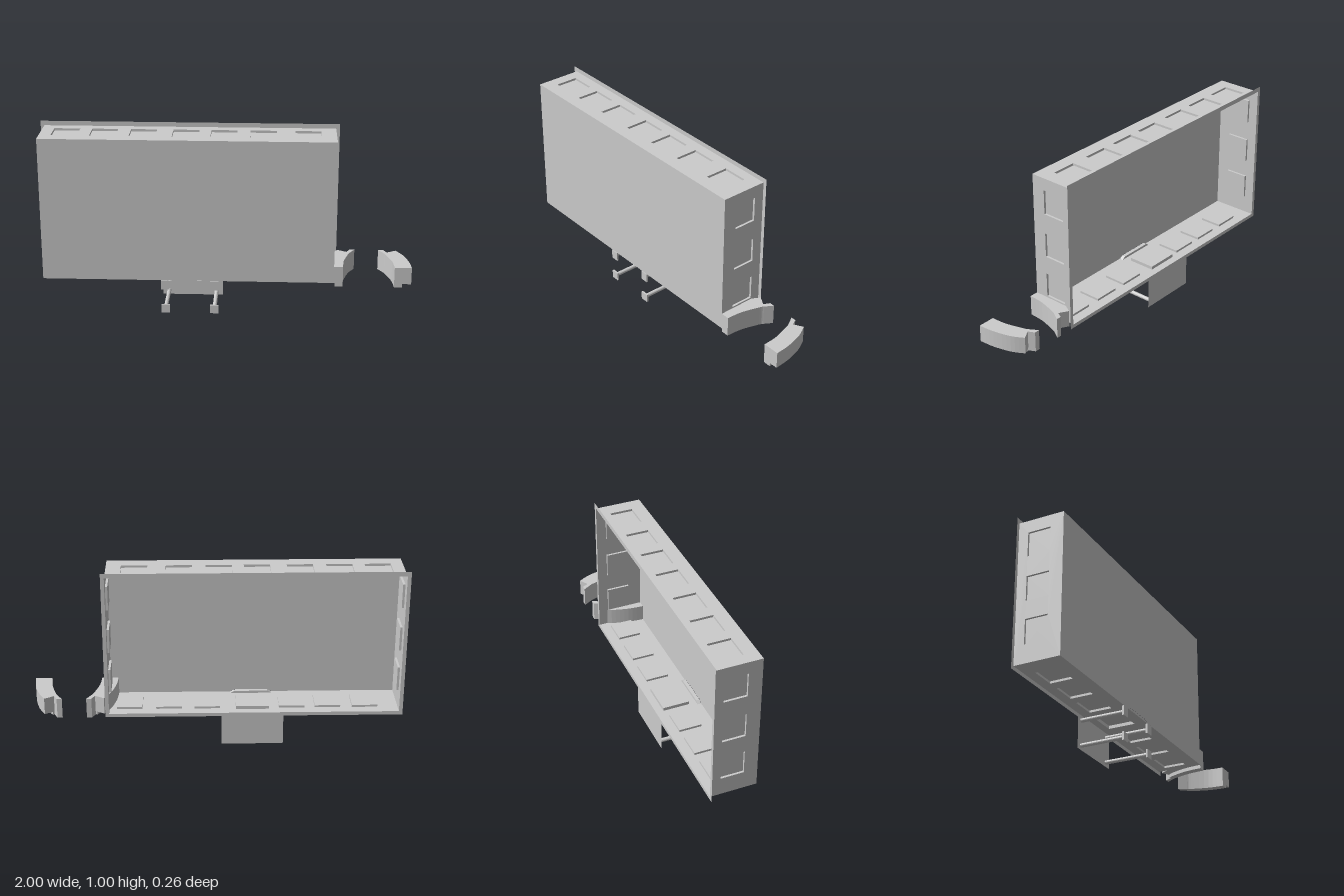
import * as THREE from 'three';

const mat = new THREE.MeshStandardMaterial({ color: 0xcccccc, side: THREE.DoubleSide, flatShading: true });
const X0 = -0.98, X1 = 0.585, Y0 = 0.19, Y1 = 0.975, Z = 0.127;
const CX = (X0 + X1) / 2, CY = (Y0 + Y1) / 2;
const PAD_Z = -0.01, PAD_D = 0.126;

function add(parent, name, geometry, x = 0, y = 0, z = 0) {
  const mesh = new THREE.Mesh(geometry, mat);
  mesh.name = name;
  mesh.position.set(x, y, z);
  parent.add(mesh);
  return mesh;
}

const poly = (pts) => new THREE.Shape(pts.map((p) => new THREE.Vector2(p[0], p[1])));
const rect = (x0, y0, x1, y1) => [[x0, y0], [x1, y0], [x1, y1], [x0, y1]];

// Square dish, open towards +z, one unit wide and deep
function dish() {
  const g = new THREE.LatheGeometry(
    [[0, -1], [Math.SQRT1_2, -1], [Math.SQRT1_2, 0]].map((p) => new THREE.Vector2(p[0], p[1])),
    4, Math.PI / 4);
  return g.rotateX(Math.PI / 2);
}

// Thin wall in local XY, facing +z, with pockets pressed inward
function wall(name, w, h, pads) {
  const group = new THREE.Group();
  group.name = name;
  const shape = poly(rect(-w / 2, -h / 2, w / 2, h / 2));
  for (const p of pads) {
    shape.holes.push(poly(rect(p.u - p.w / 2, p.v - p.h / 2, p.u + p.w / 2, p.v + p.h / 2)));
    add(group, 'pocket', dish().scale(p.w, p.h, p.d), p.u, p.v, 0);
  }
  add(group, name + 'Sheet', new THREE.ShapeGeometry(shape));
  return group;
}

function extrudeUp(pts, y0, y1) {
  const g = new THREE.ExtrudeGeometry(poly(pts.map(([x, z]) => [x, -z])),
    { depth: y1 - y0, bevelEnabled: false });
  return g.rotateX(-Math.PI / 2).translate(0, y0, 0);
}

// Smooth run of points through a few x,z pairs
function curve(pts) {
  return new THREE.SplineCurve(pts.map((p) => new THREE.Vector2(p[0], p[1])))
    .getPoints(12).map((p) => [p.x, p.y]);
}

// Curved bracket with a lower lip and an end tab
function bracket(name, mirror) {
  const group = new THREE.Group();
  group.name = name;
  const place = (pts) => (mirror ? pts.map(([x, z]) => [1.54 - x, z]) : pts);
  const inner = [[0.907, Z], [0.9, 0.04], [0.872, -0.06], [0.862, -0.082]];
  const outer = [[0.93, -0.122], [0.965, -0.055], [0.99, 0.04], [0.998, Z]];
  const lip = [[0.89, -0.095], [0.915, -0.05], [0.942, 0.04], [0.95, Z]];
  const tab = [[0.862, -0.082], [0.835, -0.127], [0.863, -0.127], [0.882, -0.09]];
  add(group, 'bracketBody', extrudeUp(place([...curve(inner), ...curve(outer)]), Y0, 0.283));
  add(group, 'bracketLip', extrudeUp(place([...curve(inner), ...curve(lip)]), 0.17, Y0));
  add(group, 'bracketTab', extrudeUp(place(tab), 0.17, 0.283));
  return group;
}

export function createModel() {
  const model = new THREE.Group();
  model.name = 'mountingTray';
  const W = X1 - X0, H = Y1 - Y0, D = 2 * Z;

  // Top and bottom walls
  const pad = (x, v) => ({ u: x - CX, v, w: 0.139, h: PAD_D, d: 0.012 });
  const top = wall('topWall', W, D,
    [-0.847, -0.644, -0.436, -0.21, -0.008, 0.2, 0.436].map((x) => pad(x, -PAD_Z)));
  top.rotation.x = -Math.PI / 2;
  top.position.set(CX, Y1, 0);

  const bottomPads = [-0.8, -0.598, -0.403, 0.056, 0.263, 0.476].map((x) => pad(x, PAD_Z));
  bottomPads.push({ u: -0.19 - CX, v: PAD_Z, w: 0.18, h: 0.15, d: 0.018 });
  const bottom = wall('bottomWall', W, D, bottomPads);
  bottom.rotation.x = Math.PI / 2;
  bottom.position.set(CX, Y0, 0);
  model.add(top, bottom);

  // Side walls
  for (const s of [1, -1]) {
    const side = wall(s > 0 ? 'leftWall' : 'rightWall', D, H,
      [0.359, 0.594, 0.84].map((y) => ({ u: -s * PAD_Z, v: y - CY, w: PAD_D, h: 0.135, d: 0.012 })));
    side.rotation.y = s * Math.PI / 2;
    side.position.set(s > 0 ? X1 : X0, CY, 0);
    model.add(side);
  }

  // Front panel with a shallow notch in its lower edge
  const panel = poly([[X0, Y0], [-0.3, Y0], [-0.28, 0.203], [-0.095, 0.203], [-0.075, Y0],
    [X1, Y0], [X1, Y1], [X0, Y1]]);
  add(model, 'frontPanel', new THREE.ShapeGeometry(panel), 0, 0, Z);
  const bridge = poly([[-0.3, Y0], [-0.28, 0.203], [-0.095, 0.203], [-0.075, Y0]]);
  add(model, 'notchRidge', new THREE.ExtrudeGeometry(bridge, { depth: 0.02, bevelEnabled: false }),
    0, 0, Z - 0.021);

  // Rear flange around the open back, with the mounting plate hanging below
  const flange = poly([[-1, 0.17], [-0.355, 0.17], [-0.355, 0], [-0.02, 0], [-0.02, 0.17],
    [0.605, 0.17], [0.605, 1], [-1, 1]]);
  flange.holes.push(poly(rect(X0, Y0, X1, Y1)));
  add(model, 'rearFlange', new THREE.ShapeGeometry(flange), 0, 0, -Z);

  // Four rods with square heads
  for (const x of [-0.32, -0.055]) {
    for (const y of [0.024, 0.162]) {
      const rod = new THREE.CylinderGeometry(0.011, 0.011, D, 16).rotateX(Math.PI / 2);
      add(model, 'rod', rod, x, y, 0);
      add(model, 'rodHead', new THREE.BoxGeometry(0.046, y > 0.1 ? 0.052 : 0.046, 0.01), x, y, Z - 0.003);
    }
  }

  // Pair of curved brackets
  model.add(bracket('outerBracket', false), bracket('innerBracket', true));
  return model;
}
